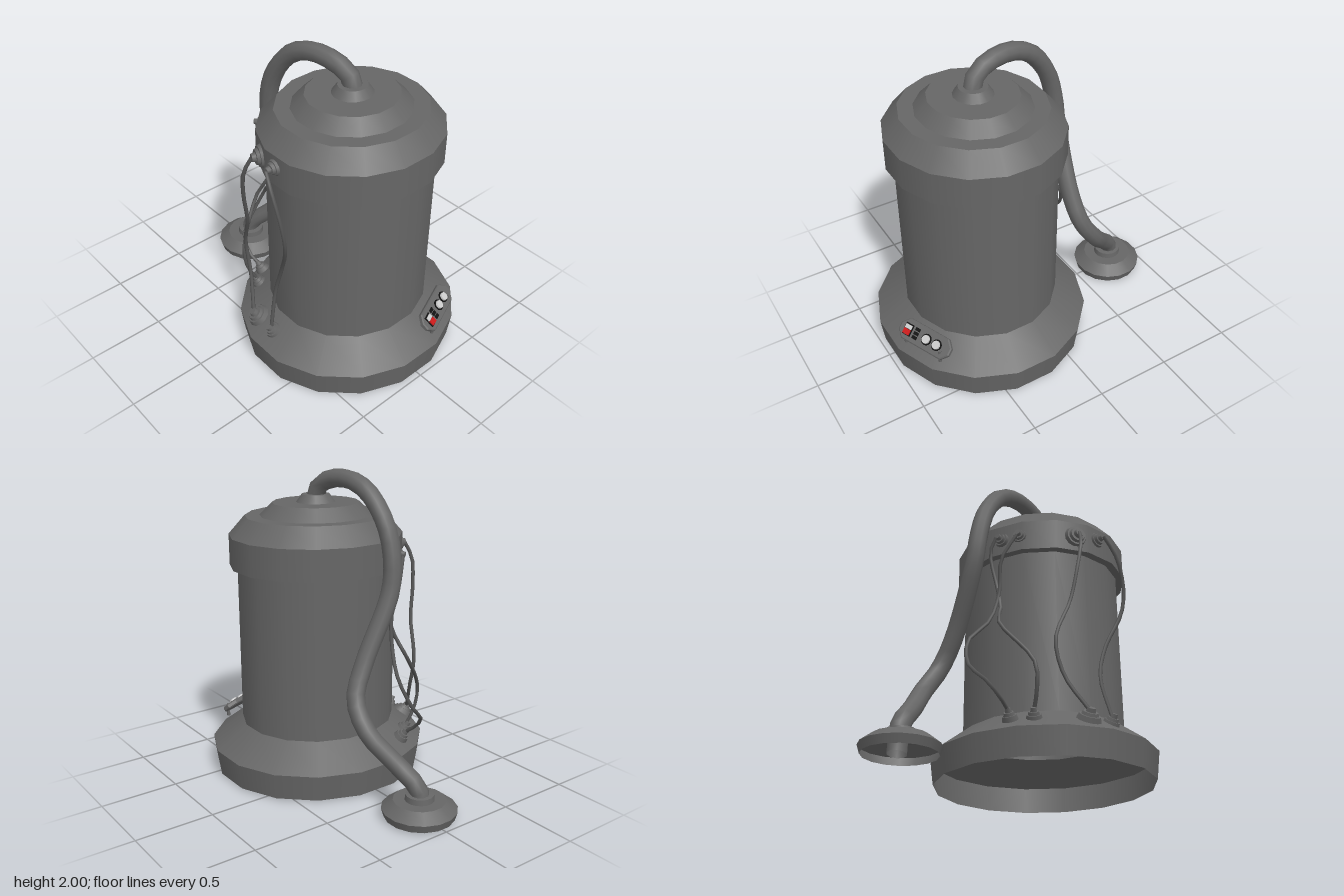
import * as THREE from 'three';

const paint = (color) => new THREE.MeshStandardMaterial({ color, side: THREE.DoubleSide });
const V = (x, y, z) => new THREE.Vector3(x, y, z);
const SIDES = 16;
const CENTRE_Z = 0.305; // axis of the tank
const DEPTH = 0.955;    // the tank is slightly narrower front to back

export function createModel() {
  const model = new THREE.Group();
  const metal = paint(0x666666), rubber = paint(0x555555), black = paint(0x111111);
  const white = paint(0xeeeeee), red = paint(0xcc1a1a);

  const add = (parent, name, geometry, material, x = 0, y = 0, z = 0) => {
    const mesh = new THREE.Mesh(geometry, material);
    mesh.name = name;
    mesh.position.set(x, y, z);
    parent.add(mesh);
    return mesh;
  };
  const group = (parent, name, x = 0, y = 0, z = 0) => {
    const g = new THREE.Group();
    g.name = name;
    g.position.set(x, y, z);
    parent.add(g);
    return g;
  };

  // One smooth band per profile step, so the rings between them stay sharp.
  // Profile numbers are half-widths across the flats.
  const bands = (parent, name, profile) => {
    const k = 1 / Math.cos(Math.PI / SIDES);
    for (let i = 0; i < profile.length - 1; i++) {
      const pts = [profile[i], profile[i + 1]].map(([r, y]) => new THREE.Vector2(r * k, y));
      add(parent, name, new THREE.LatheGeometry(pts, SIDES, Math.PI / SIDES), metal);
    }
  };
  const tube = (parent, name, points, radius, segments, sides, material) =>
    add(parent, name, new THREE.TubeGeometry(new THREE.CatmullRomCurve3(points), segments, radius, sides), material);

  // Tank: flared open base, drum, collar and stepped lid
  const tank = group(model, 'tank', 0, 0, CENTRE_Z);
  tank.scale.z = DEPTH;
  bands(tank, 'base', [[0.69, 0.01], [0.712, 0.18], [0.51, 0.33]]);
  bands(tank, 'drum', [[0.51, 0.33], [0.51, 1.38]]);
  bands(tank, 'collar', [[0.51, 1.38], [0.56, 1.38], [0.56, 1.58]]);
  bands(tank, 'lid', [[0.56, 1.58], [0.455, 1.7], [0.36, 1.7], [0.28, 1.78], [0.125, 1.78]]);
  bands(tank, 'hoseSocket', [[0.125, 1.78], [0.09, 1.83], [0, 1.83]]);

  // Suction foot, open underneath
  const foot = group(model, 'foot', 0, 0, -0.76);
  bands(foot, 'footCup', [[0.215, 0.01], [0.23, 0.06], [0.16, 0.115], [0.09, 0.115], [0.085, 0.15], [0.055, 0.155]]);

  // Hose from the lid, over the back and down to the foot
  tube(model, 'hose', [
    V(0, 1.8, 0.31), V(-0.01, 1.88, 0.285), V(-0.03, 1.93, 0.2), V(-0.06, 1.945, 0.03),
    V(-0.085, 1.88, -0.13), V(-0.11, 1.7, -0.27), V(-0.115, 1.5, -0.33), V(-0.09, 1.3, -0.345),
    V(0.1, 0.88, -0.335), V(0.19, 0.68, -0.37), V(0.19, 0.5, -0.49), V(0.09, 0.33, -0.63),
    V(0.01, 0.18, -0.76), V(0, 0.01, -0.78),
  ], 0.058, 34, 10, metal);

  // Cable sockets: stacked discs facing along a normal
  const socket = (name, x, y, z, lift, size) => {
    const s = group(model, name, x, y, z);
    const normal = V(x, 0, z - CENTRE_Z).normalize().multiplyScalar(Math.cos(lift));
    normal.y = Math.sin(lift);
    s.quaternion.setFromUnitVectors(V(0, 1, 0), normal);
    [[1, 0.85, 0.03, 0], [0.72, 0.6, 0.022, 0.022], [0.42, 0.32, 0.03, 0.042]].forEach(([a, b, h, up]) =>
      add(s, 'socketRing', new THREE.CylinderGeometry(b * size, a * size, h, 12), metal, 0, up, 0));
  };

  // Each cable runs from a collar socket to a base socket
  const cables = [
    { size: 0.05, top: [-0.19, 1.48, -0.205], foot: [-0.4, 0.26, -0.14],
      path: [[-0.2, 1.47, -0.26], [-0.16, 1.38, -0.27], [-0.18, 1.12, -0.225], [-0.22, 0.98, -0.235],
        [-0.27, 0.85, -0.29], [-0.47, 0.56, -0.19], [-0.46, 0.4, -0.17], [-0.41, 0.29, -0.15]] },
    { size: 0.05, top: [-0.3, 1.48, -0.15], foot: [-0.3, 0.26, -0.235],
      path: [[-0.32, 1.47, -0.19], [-0.24, 1.3, -0.25], [-0.2, 1.1, -0.23], [-0.17, 0.9, -0.28],
        [-0.12, 0.75, -0.4], [-0.2, 0.55, -0.455], [-0.3, 0.45, -0.42], [-0.33, 0.36, -0.34], [-0.31, 0.29, -0.25]] },
    { size: 0.075, top: [-0.53, 1.48, 0.12], foot: [-0.6, 0.26, 0.1],
      path: [[-0.58, 1.48, 0.1], [-0.62, 1.38, 0.07], [-0.61, 1.2, 0.04], [-0.57, 0.98, 0.01],
        [-0.53, 0.72, -0.08], [-0.54, 0.5, -0.03], [-0.62, 0.29, 0.09]] },
    { size: 0.055, top: [-0.56, 1.5, 0.28], foot: [-0.61, 0.26, 0.27],
      path: [[-0.62, 1.5, 0.28], [-0.64, 1.38, 0.36], [-0.635, 1.2, 0.42], [-0.61, 1.02, 0.42],
        [-0.555, 0.76, 0.31], [-0.56, 0.55, 0.25], [-0.62, 0.29, 0.27]] },
  ];
  for (const { size, top, foot: end, path } of cables) {
    socket('collarSocket', ...top, 0, size);
    socket('baseSocket', ...end, 0.94, size);
    tube(model, 'cable', path.map((p) => V(...p)), 0.012, 18, 6, rubber);
  }

  // Control panel on the sloping base
  const mount = group(model, 'controlPanel', 0.27, 0.315, 0.85);
  mount.rotation.y = Math.PI / 8;
  for (const side of [-1, 1])
    add(mount, 'panelLeg', new THREE.CylinderGeometry(0.011, 0.011, 0.09, 8), metal, side * 0.14, -0.04, 0.03);
  const panel = group(mount, 'panel');
  panel.rotation.x = -0.86;

  const octagon = (w, h, cut) => new THREE.Shape([
    [-w, -h + cut], [-w + cut, -h], [w - cut, -h], [w, -h + cut],
    [w, h - cut], [w - cut, h], [-w + cut, h], [-w, h - cut],
  ].map(([x, y]) => new THREE.Vector2(x, y)));
  add(panel, 'panelPlate', new THREE.ExtrudeGeometry(octagon(0.195, 0.062, 0.042),
    { depth: 0.02, bevelEnabled: true, bevelThickness: 0.007, bevelSize: 0.007, bevelSegments: 1 }), metal, 0, 0, -0.012);

  // Rocker switch, slots and two knobs
  add(panel, 'switchFrame', new THREE.BoxGeometry(0.06, 0.076, 0.008), black, -0.132, 0, 0.017);
  add(panel, 'switchLower', new THREE.BoxGeometry(0.048, 0.034, 0.02), red, -0.132, -0.016, 0.02);
  add(panel, 'switchUpper', new THREE.BoxGeometry(0.048, 0.026, 0.016), white, -0.132, 0.017, 0.02);
  for (const y of [-0.027, 0, 0.027])
    add(panel, 'slot', new THREE.BoxGeometry(0.036, 0.02, 0.008), black, -0.066, y, 0.017);
  for (const x of [0.018, 0.1]) {
    add(panel, 'knobRing', new THREE.CylinderGeometry(0.036, 0.036, 0.008, 16), black, x, 0, 0.017).rotation.x = Math.PI / 2;
    add(panel, 'knob', new THREE.CylinderGeometry(0.026, 0.029, 0.022, 16), white, x, 0, 0.022).rotation.x = Math.PI / 2;
  }
  return model;
}
